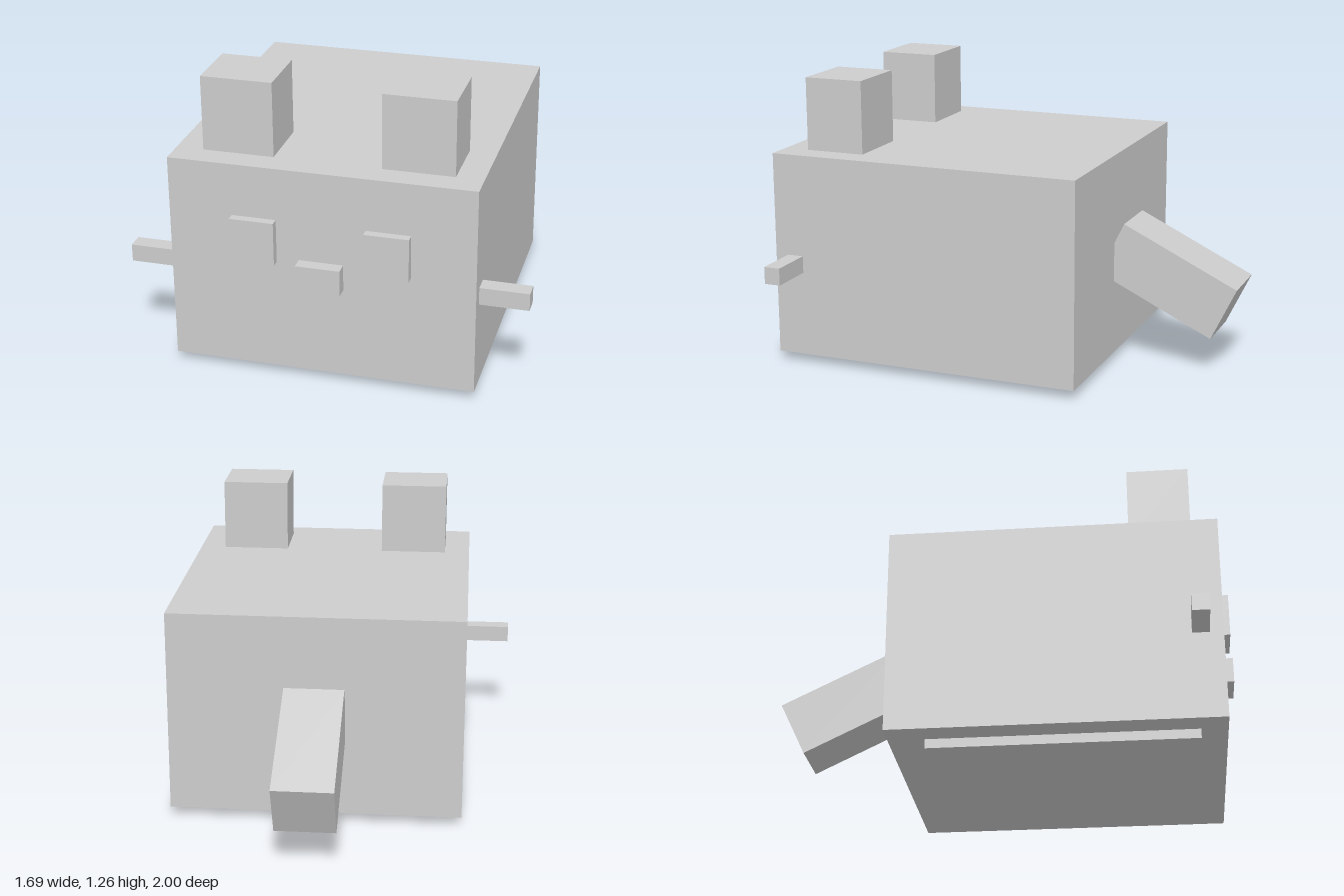
import * as THREE from 'three';

export function createModel() {
  const model = new THREE.Group();
  const grey = new THREE.MeshStandardMaterial({ color: 0xcccccc });
  grey.name = 'light grey';

  // Box given by its extents on each axis
  function box(name, [x0, x1], [y0, y1], [z0, z1]) {
    const mesh = new THREE.Mesh(new THREE.BoxGeometry(x1 - x0, y1 - y0, z1 - z0), grey);
    mesh.position.set((x0 + x1) / 2, (y0 + y1) / 2, (z0 + z1) / 2);
    mesh.name = name;
    model.add(mesh);
    return mesh;
  }

  // The same box on the left (+x) and right (-x)
  function pair(name, [x0, x1], y, z) {
    box('left' + name, [x0, x1], y, z);
    box('right' + name, [-x1, -x0], y, z);
  }

  // Body and the thin base it rests on
  box('body', [-0.64, 0.64], [0.04, 0.94], [-0.445, 0.945]);
  box('base', [-0.525, 0.525], [0, 0.04], [-0.29, 0.835]);

  // Ears, face and side whiskers
  pair('Ear', [0.225, 0.525], [0.94, 1.26], [0.57, 0.835]);
  pair('Eye', [0.187, 0.373], [0.527, 0.715], [0.945, 0.982]);
  box('nose', [-0.093, 0.093], [0.435, 0.547], [0.945, 1]);
  pair('Whisker', [0.64, 0.845], [0.415, 0.49], [0.815, 0.887]);

  // Tail, sloping down towards the back
  const tail = box('tail', [-0.13, 0.13], [0.27, 0.526], [-0.97, -0.405]);
  tail.rotation.x = -0.448;

  return model;
}
